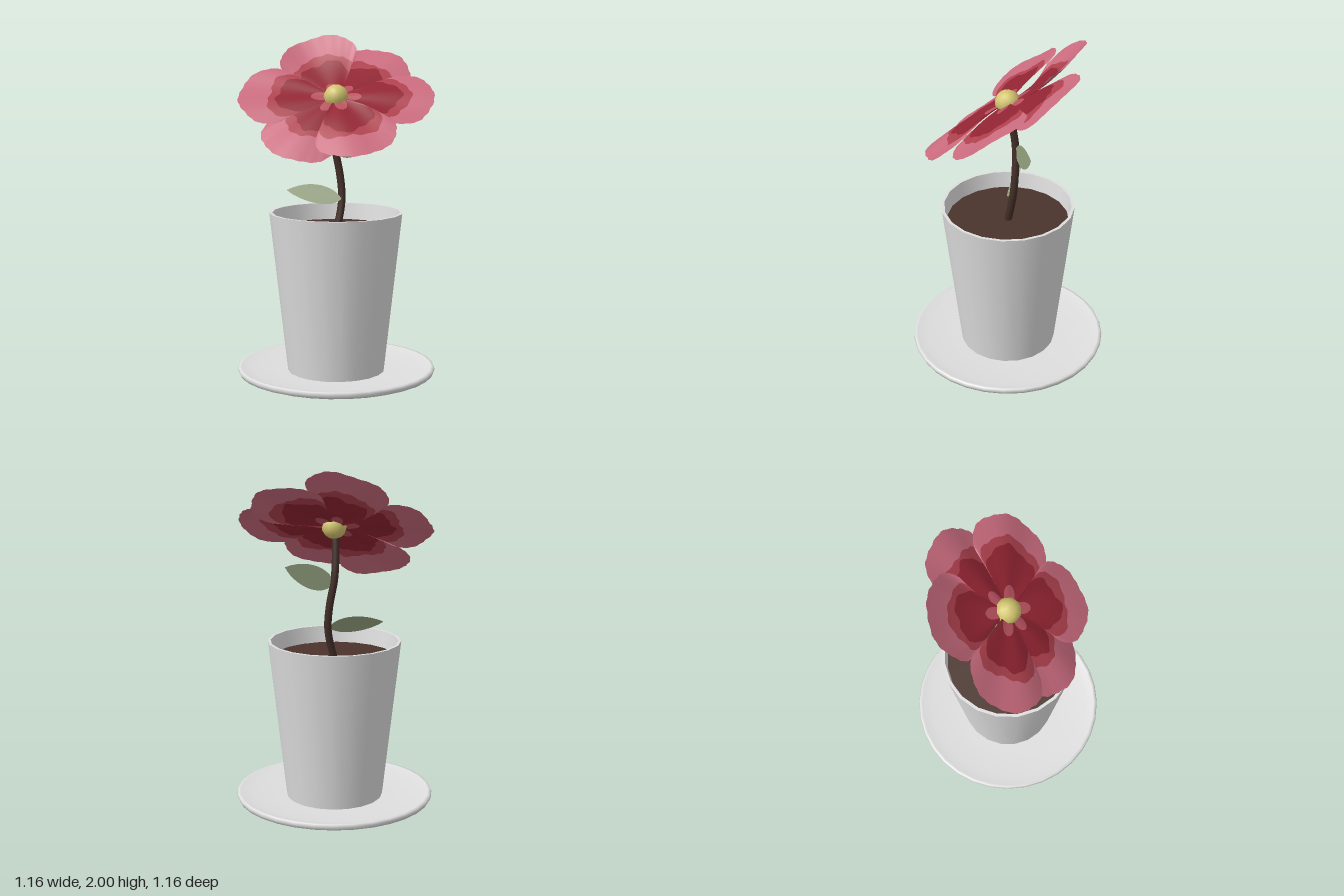
import * as THREE from 'three';

const mat = (name, color, side = THREE.FrontSide) => {
  const m = new THREE.MeshStandardMaterial({ color, side });
  m.name = name;
  return m;
};

// One petal in polar form: rows run outward, split into colour zones
function petalGeometry({ length, lift, twist, bow, deep, seed }) {
  const cols = 44, half = 0.62;
  const zones = [
    { rows: 3, end: f => 0.07 + 0.19 * Math.max(0, Math.cos(f * 1.8)) ** 0.7 },
    { rows: 8, end: f => deep - 0.02 * f * f + 0.025 * Math.sin(6 * f + seed) + 0.012 * Math.sin(15 * f + seed) },
    { rows: 3, end: f => deep + 0.09 + 0.07 * f * f + 0.025 * Math.sin(5 * f + seed * 2) + 0.01 * Math.sin(17 * f) },
    { rows: 6, end: () => 1 },
  ];
  const pos = [], index = [];
  const addRow = sOf => {
    for (let j = 0; j <= cols; j++) {
      const f = Math.sin((j / cols - 0.5) * Math.PI);
      const s = sOf(f);
      const round = Math.sqrt(Math.max(0, 1 - f * f));
      const ruffle = 1 + s * s * (0.006 * Math.sin(j * 1.9 + seed) + 0.008 * Math.sin(j * 0.6 + seed));
      const r = s * length * (0.64 + 0.36 * round) * ruffle;
      const a = f * half;
      const h = lift * s * s + twist * f * s + bow * Math.sin(Math.PI * s) - 0.008 * f * f * s
        + 0.008 * s * Math.sin(5 * f + seed);
      pos.push(r * Math.cos(a), r * Math.sin(a), h);
    }
  };
  const geo = new THREE.BufferGeometry();
  let start = () => 0.02, row = 0;
  addRow(start);
  zones.forEach((zone, z) => {
    const first = index.length, from = start;
    for (let k = 1; k <= zone.rows; k++, row++) {
      addRow(f => THREE.MathUtils.lerp(from(f), zone.end(f), k / zone.rows));
      for (let j = 0; j < cols; j++) {
        const a = row * (cols + 1) + j, b = a + cols + 1;
        index.push(a, b, b + 1, a, b + 1, a + 1);
      }
    }
    geo.addGroup(first, index.length - first, z);
    start = zone.end;
  });
  geo.setAttribute('position', new THREE.Float32BufferAttribute(pos, 3));
  geo.setIndex(index);
  geo.computeVertexNormals();
  return geo;
}

// Flat pointed leaf running from base to tip, widened along up
function makeLeaf(name, base, tip, up, material, upper, lower) {
  const dir = tip.clone().sub(base);
  const len = dir.length();
  dir.normalize();
  const normal = dir.clone().cross(up).normalize();
  const side = normal.clone().cross(dir);
  const shape = new THREE.Shape();
  shape.moveTo(0, 0);
  shape.bezierCurveTo(len * 0.15, upper * 1.1, len * 0.6, upper * 1.6, len, 0);
  shape.bezierCurveTo(len * 0.75, -lower * 1.1, len * 0.15, -lower * 1.7, 0, 0);
  const leaf = new THREE.Mesh(new THREE.ShapeGeometry(shape, 12), material);
  leaf.applyMatrix4(new THREE.Matrix4().makeBasis(dir, side, normal).setPosition(base));
  leaf.name = name;
  return leaf;
}

export function createModel() {
  const model = new THREE.Group();
  model.name = 'pottedFlower';
  const ceramic = mat('ceramic', 0xdedede);
  const soilMat = mat('soil', 0x4a332c);
  const stemMat = mat('stemBrown', 0x432e27);
  const leafMat = mat('leafGreen', 0x95a27f, THREE.DoubleSide);
  const yellow = mat('pollenYellow', 0xd2c46e);
  const petalMats = [
    mat('petalStar', 0xb9525f, THREE.DoubleSide),
    mat('petalDeepRed', 0x922432, THREE.DoubleSide),
    mat('petalRed', 0xaf414e, THREE.DoubleSide),
    mat('petalPink', 0xca6b7e, THREE.DoubleSide),
  ];
  const add = (name, geo, material, parent = model) => {
    const m = new THREE.Mesh(geo, material);
    m.name = name;
    parent.add(m);
    return m;
  };
  const lathe = (pts, n) => new THREE.LatheGeometry(pts.map(p => new THREE.Vector2(...p)), n);

  // Saucer
  add('saucer', lathe([[0, 0], [0.38, 0.004], [0.53, 0.02], [0.573, 0.036], [0.582, 0.055],
    [0.576, 0.07], [0.56, 0.07], [0.5, 0.055], [0.3, 0.045], [0, 0.045]], 32), ceramic);

  // Pot: separate walls keep the rim crisp
  const pot = new THREE.Group();
  pot.name = 'pot';
  pot.rotation.y = Math.PI / 20;
  model.add(pot);
  add('potOuterWall', lathe([[0.284, 0.03], [0.39, 0.985]], 20), ceramic, pot);
  add('potRim', lathe([[0.39, 0.985], [0.372, 0.985]], 20), ceramic, pot);
  add('potInnerWall', lathe([[0.372, 0.985], [0.356, 0.87]], 20), ceramic, pot);
  const soil = add('soil', new THREE.CircleGeometry(0.36, 20), soilMat, pot);
  soil.rotation.x = -Math.PI / 2;
  soil.position.y = 0.887;

  // Stem
  const path = new THREE.CatmullRomCurve3([
    [0, 0.87, 0], [0.025, 1.0, -0.027], [0.03, 1.08, -0.04], [0.018, 1.2, -0.047],
    [-0.01, 1.36, -0.043], [-0.012, 1.52, -0.02], [-0.005, 1.64, 0],
  ].map(p => new THREE.Vector3(...p)));
  add('stem', new THREE.TubeGeometry(path, 24, 0.022, 8), stemMat);

  // Leaves
  const v = (x, y, z) => new THREE.Vector3(x, y, z);
  model.add(makeLeaf('lowerLeaf', v(0.03, 1.06, -0.012), v(-0.29, 1.11, -0.005), v(0, 1, -0.6), leafMat, 0.064, 0.05));
  model.add(makeLeaf('upperLeaf', v(-0.01, 1.33, -0.04), v(0.245, 1.44, -0.19), v(0, 1, 0), leafMat, 0.06, 0.07));

  // Flower head, tilted toward the front
  const flower = new THREE.Group();
  flower.name = 'flowerHead';
  flower.position.set(0, 1.652, 0);
  flower.rotation.x = -0.927;
  model.add(flower);
  const petals = [ // angle, length, lift, twist, bow, deep red extent
    [-2, 0.56, 0.005, -0.014, 0.012, 0.66],
    [55, 0.545, -0.04, 0.005, -0.018, 0.64],
    [110, 0.55, 0.025, -0.02, -0.022, 0.62],
    [179, 0.565, 0.01, 0, 0.008, 0.61],
    [238, 0.545, -0.04, 0, 0.005, 0.57],
    [291, 0.55, 0.025, 0.005, 0.028, 0.63],
  ];
  petals.forEach(([angle, length, lift, twist, bow, deep], i) => {
    const geo = petalGeometry({ length, lift, twist, bow, deep, seed: i * 1.7 + 0.6 });
    add('petal' + (i + 1), geo, petalMats, flower).rotation.z = THREE.MathUtils.degToRad(angle);
  });

  // Flower centre
  add('flowerCentre', new THREE.SphereGeometry(0.073, 10, 8), yellow, flower).rotation.x = Math.PI / 2;

  return model;
}
